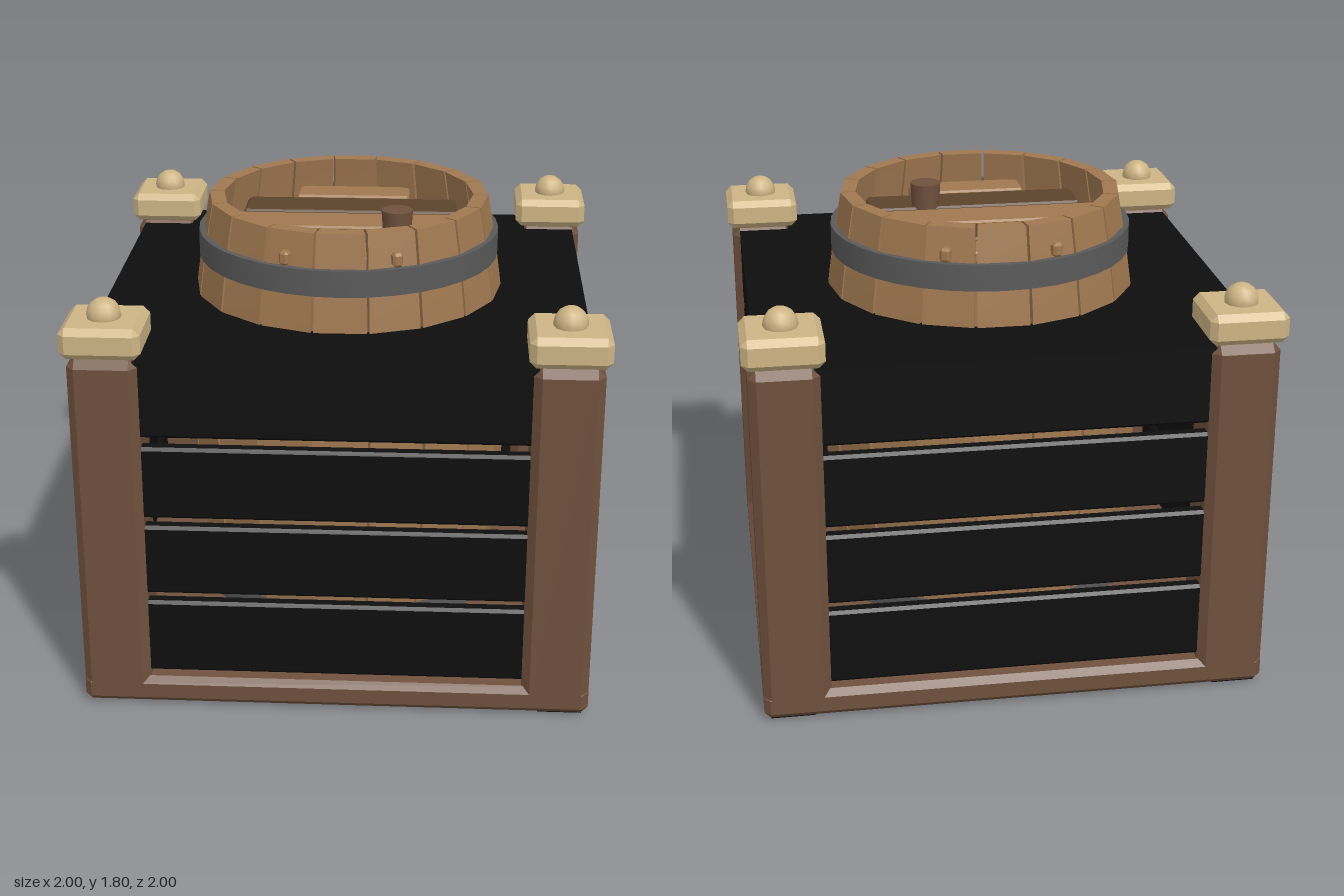
import * as THREE from 'three';
import { toCreasedNormals } from 'three/addons/utils/BufferGeometryUtils.js';
import { ConvexGeometry } from 'three/addons/geometries/ConvexGeometry.js';

const material = (color, extra = {}) => new THREE.MeshStandardMaterial({ color, ...extra });
const WOOD = material(0x6f503c, { flatShading: true });
const STAVE = material(0xa07850);
const LID_DARK = material(0x5c442c);
const CAP = material(0xcdb484, { flatShading: true });
const KNOB = material(0xcdb484);
const BLACK = material(0x0e0e0e);
const IRON = material(0x5a5a5a, { side: THREE.DoubleSide });

function add(parent, name, geometry, mat, x = 0, y = 0, z = 0) {
  const mesh = new THREE.Mesh(geometry, mat);
  mesh.name = name;
  mesh.position.set(x, y, z);
  parent.add(mesh);
  return mesh;
}

// Box whose twelve edges are cut off by c
function chamferBox(w, h, d, c) {
  const points = [];
  for (const sx of [-1, 1]) for (const sy of [-1, 1]) for (const sz of [-1, 1]) {
    for (let axis = 0; axis < 3; axis++) {
      const p = [w / 2, h / 2, d / 2].map((s, i) => (i === axis ? s : s - c));
      points.push(new THREE.Vector3(p[0] * sx, p[1] * sy, p[2] * sz));
    }
  }
  return new ConvexGeometry(points);
}

// Bulging barrel profile
const barrelRadius = (y) => 0.65 - 0.09 * ((y - 0.9) / 0.9) ** 2;

// One curved stave, swept upward through four-cornered cross-sections
function staveGeometry(halfAngle, thickness, height, rings) {
  const positions = [], index = [];
  for (let i = 0; i <= rings; i++) {
    const y = (height * i) / rings, r = barrelRadius(y);
    for (const [rad, a] of [[r, -halfAngle], [r, halfAngle], [r - thickness, halfAngle], [r - thickness, -halfAngle]]) {
      positions.push(rad * Math.sin(a), y, rad * Math.cos(a));
    }
  }
  for (let i = 0; i < rings; i++) {
    for (let k = 0; k < 4; k++) {
      const a = i * 4 + k, b = i * 4 + (k + 1) % 4;
      index.push(a, b, b + 4, a, b + 4, a + 4);
    }
  }
  const t = rings * 4;
  index.push(0, 2, 1, 0, 3, 2, t, t + 1, t + 2, t, t + 2, t + 3);
  const geometry = new THREE.BufferGeometry();
  geometry.setAttribute('position', new THREE.Float32BufferAttribute(positions, 3));
  geometry.setIndex(index);
  return toCreasedNormals(geometry, 0.6);
}

function createCrate() {
  const crate = new THREE.Group();
  crate.name = 'crate';
  add(crate, 'base', chamferBox(1.96, 0.11, 1.96, 0.025), WOOD, 0, 0.065, 0);

  // Corner posts with caps and round knobs
  const postGeometry = chamferBox(0.26, 1.43, 0.26, 0.03);
  const capGeometry = chamferBox(0.3, 0.12, 0.3, 0.025);
  const knobGeometry = new THREE.SphereGeometry(0.065, 12, 8);
  for (const x of [-1, 1]) for (const z of [-1, 1]) {
    add(crate, 'post', postGeometry, WOOD, x * 0.85, 0.725, z * 0.85);
    add(crate, 'postCap', capGeometry, CAP, x * 0.85, 1.51, z * 0.85);
    add(crate, 'postKnob', knobGeometry, KNOB, x * 0.85, 1.58, z * 0.85);
    if (x > 0 || z < 0) {
      add(crate, 'postFoot', new THREE.BoxGeometry(0.17, 0.01, 0.17), BLACK, x * 0.87, 0.011, z * 0.87);
    }
  }

  // Four walls of spaced planks
  const rows = [[0.14, 0.445], [0.48, 0.765], [0.8, 1.09], [1.13, 1.43]];
  for (let side = 0; side < 4; side++) {
    const wall = new THREE.Group();
    wall.name = 'wall';
    wall.rotation.y = (side * Math.PI) / 2;
    for (const [low, high] of rows) {
      add(wall, 'plank', chamferBox(1.5, high - low, 0.06, 0.012), BLACK, 0, (low + high) / 2, 0.92);
    }
    crate.add(wall);
  }

  // Top board with a round opening for the barrel
  const board = new THREE.Shape();
  board.moveTo(-0.95, -0.95).lineTo(0.95, -0.95).lineTo(0.95, 0.95).lineTo(-0.95, 0.95).closePath();
  board.holes.push(new THREE.Path().absarc(0, 0, 0.6, 0, Math.PI * 2, true));
  const top = new THREE.ExtrudeGeometry(board, { depth: 0.05, bevelEnabled: false, curveSegments: 24 });
  add(crate, 'topBoard', top.rotateX(-Math.PI / 2), BLACK, 0, 1.38, 0);
  return crate;
}

function createBarrel() {
  const barrel = new THREE.Group();
  barrel.name = 'barrel';

  // Staves, with a joint on the x axis
  const count = 18, step = (Math.PI * 2) / count;
  const geometry = staveGeometry(step / 2 - 0.009, 0.06, 1.805, 10);
  for (let i = 0; i < count; i++) add(barrel, 'stave', geometry, STAVE).rotation.y = i * step;

  // Iron hoops
  const hoop = [[0.575, -0.052], [0.602, -0.052], [0.602, 0.052], [0.575, 0.052], [0.575, -0.052]]
    .map(([r, y]) => new THREE.Vector2(r, y));
  const hoopGeometry = toCreasedNormals(new THREE.LatheGeometry(hoop, 36), 0.6);
  for (const y of [1.622, 0.18]) add(barrel, 'hoop', hoopGeometry, IRON, 0, y, 0);

  // Lid planks over a dark backing
  add(barrel, 'lidBacking', new THREE.CylinderGeometry(0.53, 0.53, 0.02, 36), BLACK, 0, 1.62, 0);
  add(barrel, 'lidPlankMiddle', chamferBox(0.99, 0.05, 0.19, 0.008), STAVE, 0, 1.665, 0);
  for (const side of [-1, 1]) {
    add(barrel, 'lidPlankInner', chamferBox(0.87, 0.05, 0.19, 0.008), LID_DARK, 0, 1.665, side * 0.215);
    add(barrel, 'lidPlankOuter', chamferBox(0.47, 0.05, 0.15, 0.008), STAVE, 0, 1.665, side * 0.41);
  }
  add(barrel, 'bung', toCreasedNormals(new THREE.CylinderGeometry(0.062, 0.055, 0.11, 16), 0.6), material(0x6f503c), 0.2, 1.73, 0.16);

  // Small pegs on the front and back of the rim
  for (const x of [-0.21, 0.21]) for (const z of [-0.535, 0.535]) {
    add(barrel, 'peg', chamferBox(0.04, 0.055, 0.05, 0.01), STAVE, x, 1.705, z).rotation.y = Math.atan2(x, z);
  }
  return barrel;
}

export function createModel() {
  const model = new THREE.Group();
  model.name = 'barrelInCrate';
  model.add(createCrate(), createBarrel());
  return model;
}
